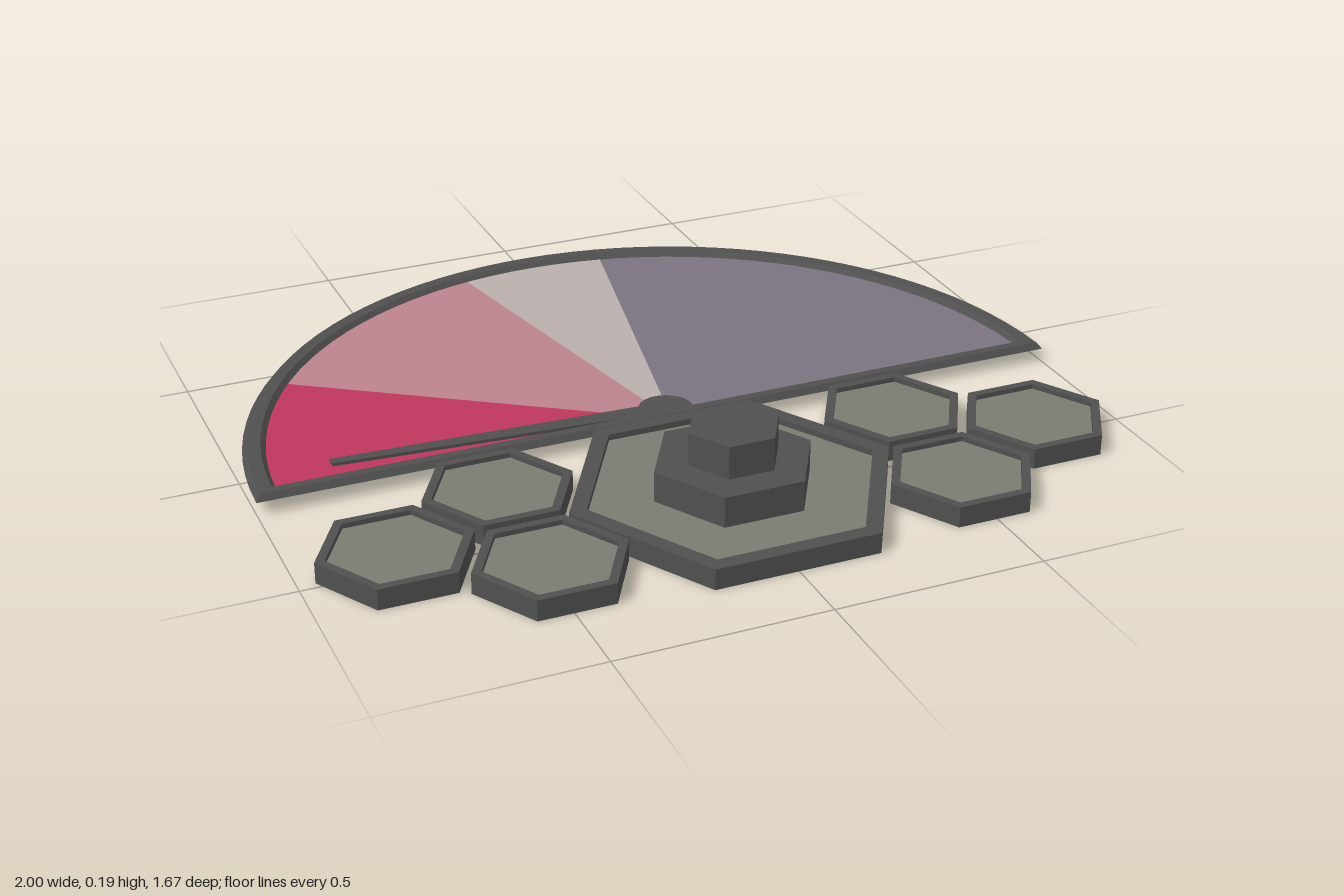
import * as THREE from 'three';

const mat = (name, color) => {
  const m = new THREE.MeshStandardMaterial({ color });
  m.name = name;
  return m;
};

export function createModel() {
  const model = new THREE.Group();
  model.name = 'gaugePanel';

  const charcoal = mat('charcoal', 0x505050);
  const olive = mat('olive', 0x7a7b71);
  const crimson = mat('crimson', 0xbf375f);
  const rose = mat('rose', 0xbd8490);
  const stone = mat('stone', 0xbab1ad);
  const slate = mat('slate', 0x7c7381);

  const add = (parent, name, geo, material, x = 0, y = 0, z = 0) => {
    const m = new THREE.Mesh(geo, material);
    m.name = name;
    m.position.set(x, y, z);
    parent.add(m);
  };

  // Flat outline (x, -z) raised upward by a height
  const slab = (shape, height, curveSegments = 24) =>
    new THREE.ExtrudeGeometry(shape, { depth: height, bevelEnabled: false, curveSegments })
      .rotateX(-Math.PI / 2);

  // Hexagon with corners pointing along x
  const hexPoints = (r) => Array.from({ length: 6 }, (_, i) =>
    new THREE.Vector2(r * Math.cos(i * Math.PI / 3), r * Math.sin(i * Math.PI / 3)));
  const hexSlab = (r, height) => slab(new THREE.Shape(hexPoints(r)), height);

  // Shallow hexagonal tray: solid base, raised rim, coloured floor
  const tray = (name, x, z, r, inner, floorY) => {
    const g = new THREE.Group();
    g.name = name;
    g.position.set(x, 0, z);
    const rim = new THREE.Shape(hexPoints(r));
    rim.holes.push(new THREE.Path(hexPoints(inner).reverse()));
    add(g, 'trayBase', hexSlab(r, floorY - 0.006), charcoal);
    add(g, 'trayRim', slab(rim, 0.05 - floorY + 0.006), charcoal, 0, floorY - 0.006);
    add(g, 'trayFloor', hexSlab(inner, 0.006), olive, 0, floorY - 0.006);
    model.add(g);
    return g;
  };

  // Central tray with the stepped knob
  const main = tray('mainTray', 0, 0.495, 0.392, 0.35, 0.035);
  add(main, 'knobBase', hexSlab(0.191, 0.075), charcoal, 0, 0.034);
  add(main, 'knobTop', hexSlab(0.11, 0.08), charcoal, 0, 0.109);

  // Three small trays on each side
  for (const side of [-1, 1]) {
    for (const [x, z] of [[0.493, 0.32], [0.493, 0.65], [0.782, 0.482]]) {
      tray(side > 0 ? 'leftTray' : 'rightTray', side * x, z, 0.178, 0.155, 0.038);
    }
  }

  // Half-round dial
  const dial = new THREE.Group();
  dial.name = 'dial';
  dial.position.z = 0.16;
  model.add(dial);

  // Coloured sectors: angles in degrees, from the model's left
  const sectors = [
    ['slateSector', 0, 78.5, slate],
    ['stoneSector', 78.5, 101.5, stone],
    ['roseSector', 101.5, 146, rose],
    ['crimsonSector', 146, 180, crimson],
  ];
  for (const [name, from, to, material] of sectors) {
    const points = [new THREE.Vector2(0, 0)];
    const steps = Math.ceil((to - from) / 4);
    for (let i = 0; i <= steps; i++) {
      const a = THREE.MathUtils.degToRad(from + (to - from) * i / steps);
      points.push(new THREE.Vector2(0.975 * Math.cos(a), 0.975 * Math.sin(a)));
    }
    add(dial, name, slab(new THREE.Shape(points), 0.006), material, 0, 0.032, -0.004);
  }

  // Dial frame: sloped profile carried around the arc and the straight edge
  const profile = [[0, 0.034], [0.013, 0.05], [0.043, 0.05], [0.058, 0.034]];
  const N = 48;
  const point = (i, j) => {
    const [inset, y] = profile[i % 4];
    const r = 1 - inset;
    const base = inset * 0.72;
    const a0 = Math.asin(base / r);
    const a = a0 + (Math.PI - 2 * a0) * (j % (N + 1)) / N;
    return [r * Math.cos(a), y, -r * Math.sin(a)];
  };
  const verts = [];
  for (let i = 0; i < 4; i++) {
    for (let j = 0; j <= N; j++) {
      const a = point(i, j), b = point(i, j + 1), c = point(i + 1, j + 1), d = point(i + 1, j);
      verts.push(...a, ...b, ...c, ...a, ...c, ...d);
    }
  }
  const frame = new THREE.BufferGeometry();
  frame.setAttribute('position', new THREE.Float32BufferAttribute(verts, 3));
  frame.computeVertexNormals();
  add(dial, 'dialFrame', frame, charcoal);

  // Pointer hub, cut off by the straight edge of the frame
  const hub = new THREE.Shape();
  hub.absarc(0, 0.043, 0.065, -0.2, Math.PI + 0.2, false);
  hub.closePath();
  add(dial, 'pointerHub', slab(hub, 0.012), charcoal, 0, 0.037);

  // Tapered pointer
  const pointer = new THREE.Shape([
    new THREE.Vector2(-0.8, 0.09), new THREE.Vector2(0, 0.03),
    new THREE.Vector2(0, 0.078), new THREE.Vector2(-0.8, 0.113),
  ]);
  add(dial, 'pointer', slab(pointer, 0.009), charcoal, 0, 0.037);

  return model;
}
